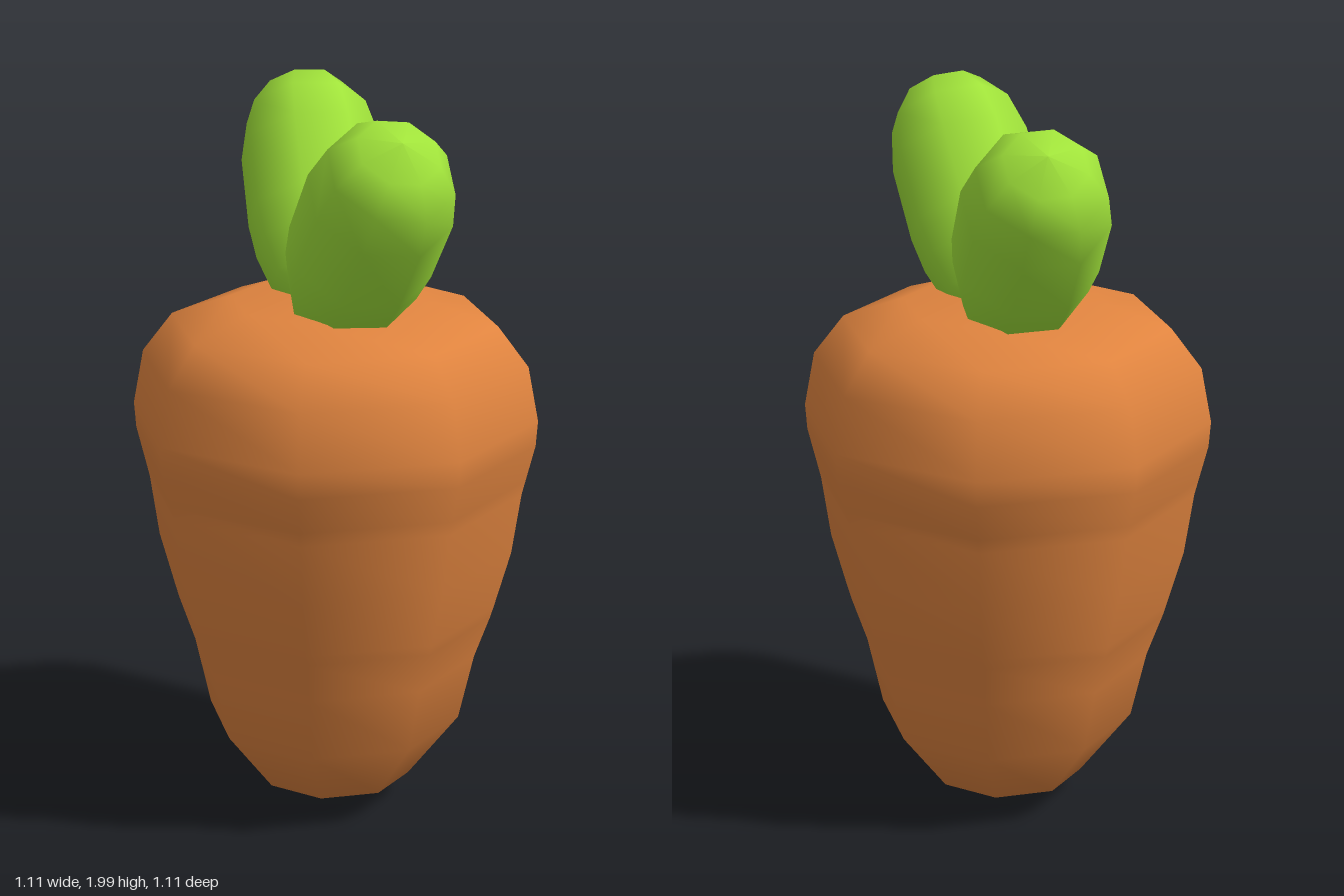
import * as THREE from 'three';

const SIDES = 8;

function lathe(points, material, name) {
  const profile = points.map(([r, y]) => new THREE.Vector2(r, y));
  const mesh = new THREE.Mesh(new THREE.LatheGeometry(profile, SIDES), material);
  mesh.name = name;
  return mesh;
}

export function createModel() {
  const orange = new THREE.MeshStandardMaterial({ color: 0xe0843f });
  orange.name = 'carrot orange';
  const green = new THREE.MeshStandardMaterial({ color: 0xa0e23a });
  green.name = 'leaf green';

  const group = new THREE.Group();
  group.name = 'carrot';

  // Tapered root with two shallow growth rings
  group.add(lathe([
    [0, 0.005], [0.213, 0.075], [0.353, 0.255], [0.395, 0.44], [0.438, 0.56],
    [0.447, 0.59], [0.492, 0.75], [0.517, 0.92], [0.527, 0.96], [0.552, 1.06],
    [0.557, 1.13], [0.528, 1.28], [0.445, 1.388], [0.28, 1.445], [0, 1.46],
  ], orange, 'root'));

  // Plump leaf stalk: origin at the tip, growing along +y
  const stalk = [
    [0, -0.74], [0.09, -0.72], [0.15, -0.63], [0.182, -0.53], [0.195, -0.43],
    [0.195, -0.22], [0.17, -0.11], [0.11, -0.035], [0, 0],
  ];
  const up = new THREE.Vector3(0, 1, 0);
  function addLeaf(name, base, tip) {
    const leaf = lathe(stalk, green, name);
    const end = new THREE.Vector3(...tip);
    const direction = end.clone().sub(new THREE.Vector3(...base)).normalize();
    leaf.quaternion.setFromUnitVectors(up, direction);
    leaf.position.copy(end);
    group.add(leaf);
  }
  addLeaf('rightLeaf', [-0.06, 1.45, -0.02], [-0.453, 1.956, -0.215]);
  addLeaf('leftLeaf', [0.07, 1.45, 0.03], [0.468, 1.958, 0.125]);

  return group;
}
